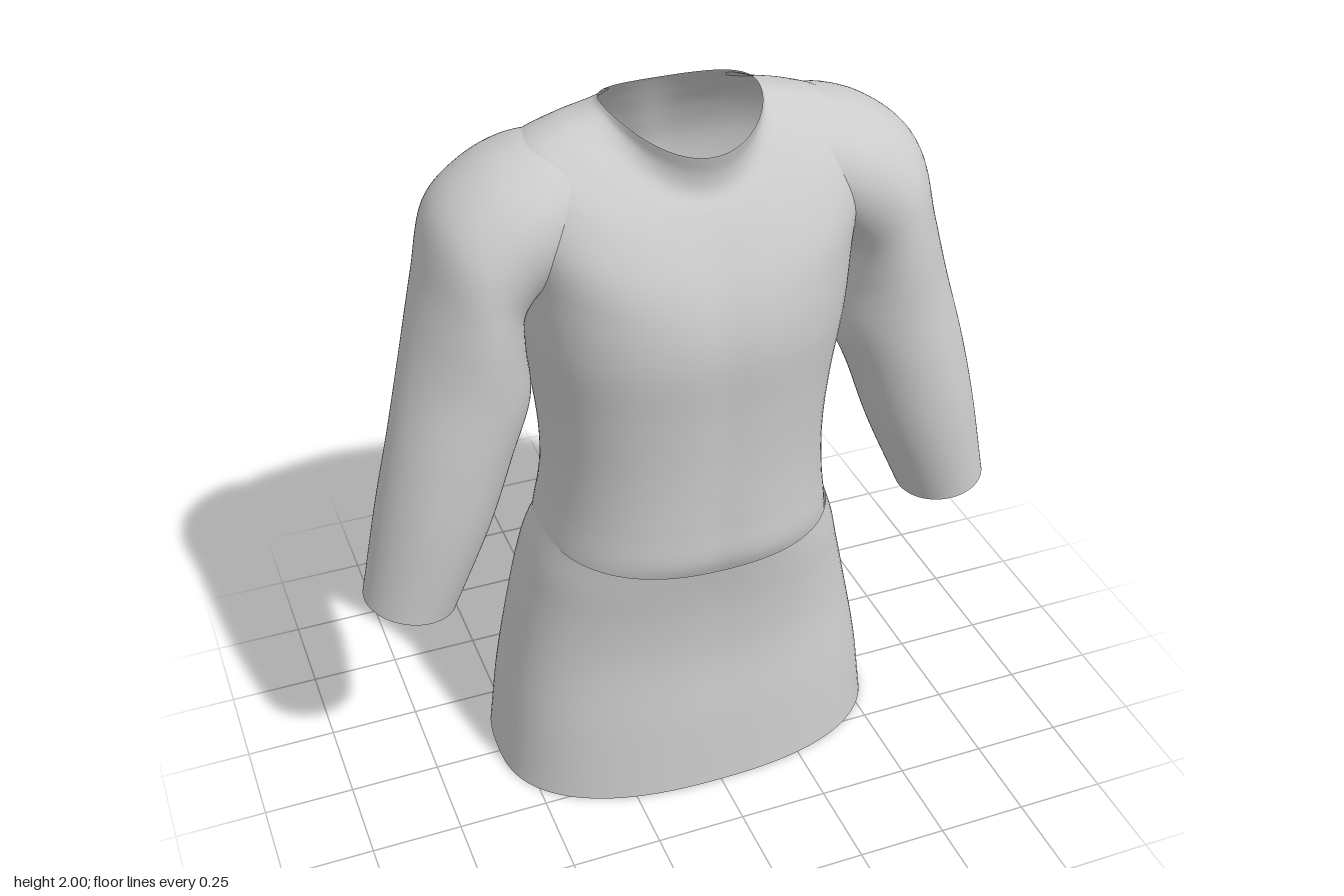
import * as THREE from 'three';

const SEG = 96;

// Smooth open tube through cross-sections with equal point counts
function loft(rings, steps) {
  const pos = [], idx = [];
  const columns = rings[0].map((_, j) =>
    new THREE.CatmullRomCurve3(rings.map(r => r[j]), false, 'centripetal').getPoints(steps));
  for (let i = 0; i <= steps; i++) for (const col of columns) pos.push(col[i].x, col[i].y, col[i].z);
  for (let i = 0; i < steps; i++) for (let j = 0; j < SEG; j++) {
    const k = (j + 1) % SEG;
    const a = i * SEG + j, b = a + SEG, c = i * SEG + k, d = c + SEG;
    idx.push(a, b, c, c, b, d);
  }
  const g = new THREE.BufferGeometry();
  g.setAttribute('position', new THREE.Float32BufferAttribute(pos, 3));
  g.setIndex(idx);
  g.computeVertexNormals();
  return g;
}

// Body section: side/front/back heights, half width, front z, back z,
// front and back squareness, depth of the spine groove
function bodyRing([yS, yF, yB, w, zf, zb, nf, nb, groove]) {
  return Array.from({ length: SEG }, (_, j) => {
    const a = (j / SEG) * Math.PI * 2, s = Math.sin(a), c = Math.cos(a);
    const n = c > 0 ? nf : nb;
    const r = Math.pow(Math.abs(s) ** n + Math.abs(c) ** n, -1 / n);
    const x = w * r * s;
    let z = r * c * (c > 0 ? zf : -zb);
    const dent = groove * Math.exp(-((x / 0.055) ** 2));
    z += c > 0 ? -dent * 0.2 : dent;
    return new THREE.Vector3(x, yS + ((c > 0 ? yF : yB) - yS) * c * c, z);
  });
}

// Sleeve section: outer point, inner point, front z, back z
function sleeveRing([ox, oy, ix, iy, zf, zb], side) {
  return Array.from({ length: SEG }, (_, j) => {
    const a = (j / SEG) * Math.PI * 2, c = Math.cos(a), s = Math.sin(a);
    return new THREE.Vector3(
      side * ((ox + ix) / 2 + ((ox - ix) / 2) * c),
      (oy + iy) / 2 + ((oy - iy) / 2) * c,
      (zf + zb) / 2 - side * ((zf - zb) / 2) * s);
  });
}

export function createModel() {
  const model = new THREE.Group();
  const cloth = new THREE.MeshStandardMaterial({ color: 0xcccccc, side: THREE.DoubleSide });
  cloth.name = 'light grey cloth';
  const add = (name, geometry) => {
    const mesh = new THREE.Mesh(geometry, cloth);
    mesh.name = name;
    model.add(mesh);
  };

  // Upper body from the collar rim to just under the waist seam
  const torso = [
    [2.00, 1.925, 1.965, 0.20, 0.225, -0.165, 2, 2, 0],
    [1.99, 1.87, 1.96, 0.21, 0.21, -0.17, 2, 2, 0],
    [1.98, 1.825, 1.945, 0.24, 0.212, -0.18, 2, 2, 0],
    [1.96, 1.78, 1.90, 0.33, 0.24, -0.21, 2.1, 2.1, 0.005],
    [1.915, 1.71, 1.82, 0.42, 0.28, -0.26, 2.2, 2.3, 0.02],
    [1.80, 1.61, 1.72, 0.46, 0.325, -0.30, 2.3, 2.5, 0.03],
    [1.60, 1.52, 1.58, 0.44, 0.35, -0.308, 2.4, 2.6, 0.035],
    [1.42, 1.42, 1.42, 0.425, 0.358, -0.295, 2.4, 2.6, 0.035],
    [1.25, 1.25, 1.25, 0.40, 0.343, -0.268, 2.4, 2.5, 0.03],
    [1.10, 1.10, 1.10, 0.385, 0.333, -0.243, 2.4, 2.4, 0.025],
    [1.00, 1.00, 1.00, 0.383, 0.33, -0.235, 2.4, 2.4, 0.02],
    [0.90, 0.90, 0.90, 0.388, 0.33, -0.272, 2.4, 2.4, 0.03],
    [0.79, 0.79, 0.79, 0.402, 0.328, -0.308, 2.4, 2.5, 0.04],
    [0.69, 0.72, 0.69, 0.415, 0.30, -0.326, 2.4, 2.6, 0.025],
  ];
  add('torso', loft(torso.map(bodyRing), 90));

  // Flared skirt, overlapping the torso at the front
  const skirt = [
    [0.79, 0.78, 0.79, 0.402, 0.35, -0.275, 2.4, 2.4, 0],
    [0.70, 0.70, 0.70, 0.432, 0.336, -0.318, 2.4, 2.6, 0.01],
    [0.60, 0.60, 0.60, 0.455, 0.322, -0.334, 2.4, 2.8, 0.01],
    [0.45, 0.45, 0.45, 0.488, 0.313, -0.34, 2.4, 2.9, 0.01],
    [0.22, 0.22, 0.22, 0.533, 0.328, -0.345, 2.4, 2.9, 0.005],
    [0.00, 0.00, 0.00, 0.562, 0.34, -0.352, 2.4, 2.9, 0],
  ];
  add('skirt', loft(skirt.map(bodyRing), 40));

  // Sleeves from inside the shoulder to the open cuff
  const sleeve = [
    [0.32, 1.945, 0.36, 1.60, 0.19, -0.20],
    [0.42, 1.93, 0.40, 1.55, 0.205, -0.235],
    [0.53, 1.885, 0.42, 1.52, 0.21, -0.238],
    [0.635, 1.79, 0.43, 1.49, 0.215, -0.235],
    [0.69, 1.60, 0.43, 1.41, 0.22, -0.215],
    [0.745, 1.40, 0.425, 1.28, 0.215, -0.17],
    [0.80, 1.20, 0.485, 1.12, 0.215, -0.12],
    [0.85, 1.00, 0.553, 0.93, 0.21, -0.105],
    [0.91, 0.72, 0.665, 0.675, 0.185, -0.08],
  ];
  for (const [name, side] of [['leftSleeve', 1], ['rightSleeve', -1]])
    add(name, loft(sleeve.map(r => sleeveRing(r, side)), 60));

  return model;
}
